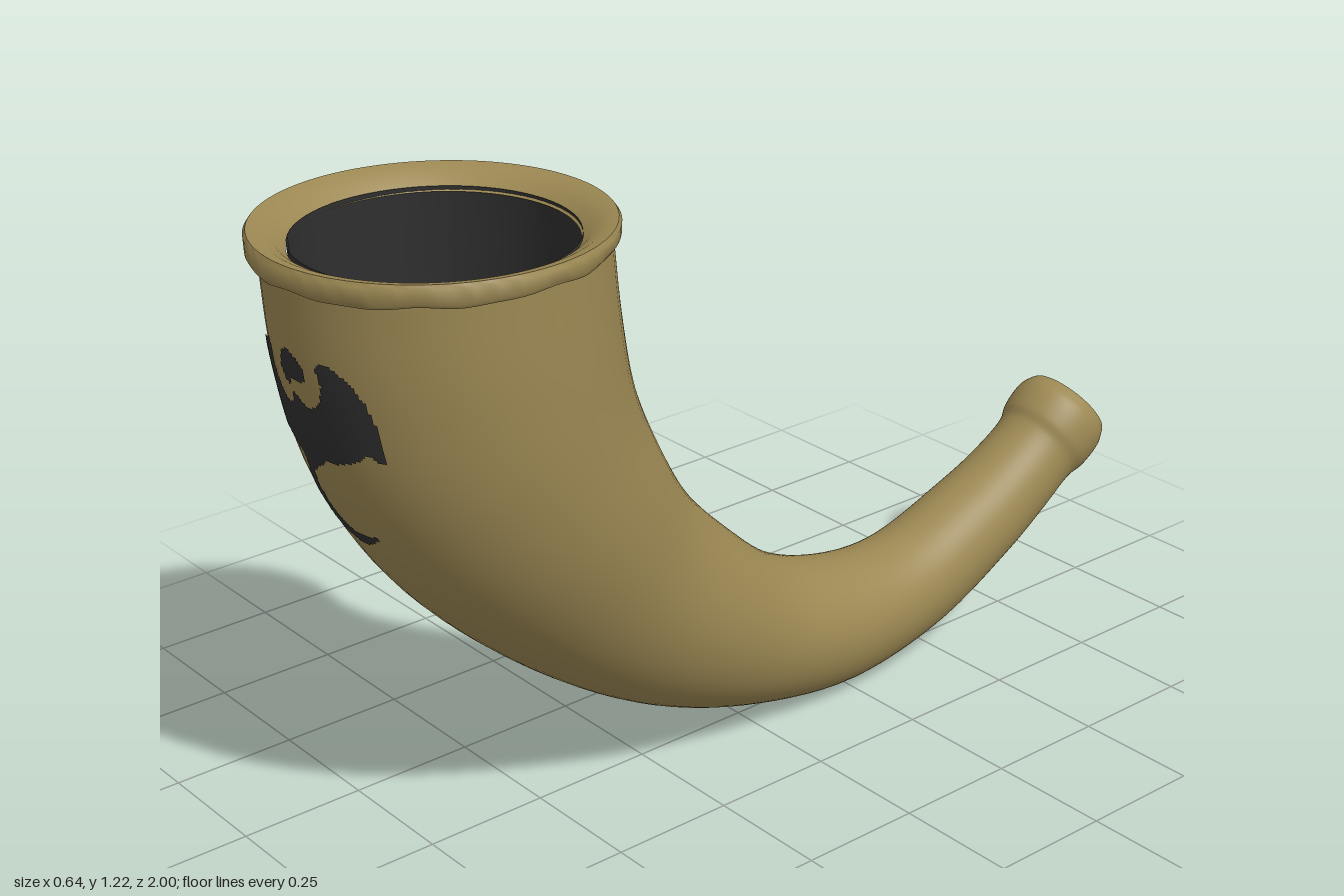
import * as THREE from 'three';
import { toCreasedNormals } from 'three/addons/utils/BufferGeometryUtils.js';

const hornTan = new THREE.MeshStandardMaterial({ color: 0x9c8853 });
hornTan.name = 'horn tan';
const charcoal = new THREE.MeshStandardMaterial({ color: 0x2f2f2f, side: THREE.DoubleSide });
charcoal.name = 'charcoal';

// Cross-sections from bell to mouthpiece: [outer z, outer y, inner z, inner y]
const sections = [
  [0.98, 1.19, 0.375, 1.19], [0.963, 0.98, 0.358, 1.02], [0.91, 0.766, 0.33, 0.88],
  [0.785, 0.55, 0.27, 0.74], [0.57, 0.335, 0.18, 0.585], [0.30, 0.15, 0.06, 0.455],
  [0.035, 0.045, -0.09, 0.33], [-0.24, 0.0, -0.26, 0.268], [-0.5, 0.043, -0.42, 0.26],
  [-0.715, 0.145, -0.60, 0.32], [-0.82, 0.21, -0.71, 0.37], [-0.898, 0.265, -0.794, 0.425],
  [-0.932, 0.28, -0.812, 0.452], [-0.978, 0.315, -0.855, 0.487], [-0.994, 0.338, -0.88, 0.493],
];
const outerCurve = new THREE.CatmullRomCurve3(sections.map(s => new THREE.Vector3(0, s[1], s[0])));
const innerCurve = new THREE.CatmullRomCurve3(sections.map(s => new THREE.Vector3(0, s[3], s[2])));

// Centre, outward direction and radius of the horn at t
function frame(t) {
  const o = outerCurve.getPoint(t), i = innerCurve.getPoint(t);
  const centre = o.clone().add(i).multiplyScalar(0.5);
  const normal = o.sub(i);
  const radius = normal.length() / 2;
  return { centre, normal: normal.normalize(), radius };
}

// Skin a list of rings [t, radius factor, shift along the horn]
function sweep(rings, sides = 64) {
  const pos = [], index = [];
  rings.forEach(([t, k, shift], i) => {
    const { centre, normal, radius } = frame(t);
    const along = new THREE.Vector3(0, -normal.z, normal.y);
    for (let j = 0; j < sides; j++) {
      const a = (j / sides) * Math.PI * 2;
      const p = centre.clone().addScaledVector(normal, radius * k * Math.cos(a)).addScaledVector(along, shift);
      pos.push(radius * k * Math.sin(a), p.y, p.z);
      if (i === rings.length - 1) continue;
      const A = i * sides + j, D = i * sides + (j + 1) % sides;
      index.push(A, A + sides, D + sides, A, D + sides, D);
    }
  });
  const g = new THREE.BufferGeometry();
  g.setAttribute('position', new THREE.Float32BufferAttribute(pos, 3));
  g.setIndex(index);
  g.computeVertexNormals();
  return g;
}

// Front surface point of the horn at a given x and y
function onFront(x, y) {
  let lo = 0, hi = 0.35, p;
  for (let n = 0; n < 18; n++) {
    const t = (lo + hi) / 2, f = frame(t);
    p = f.centre.addScaledVector(f.normal, Math.sqrt(f.radius ** 2 - x * x) + 0.004);
    if (p.y > y) lo = t; else hi = t;
  }
  return [x, y, p.z];
}

// Painted winged beast: outlines in hundredths of a unit
const beastBody = [
  -8.4, 105, -12.2, 103.9, -15.4, 100.6, -17.4, 95.8, -17.7, 88.4, -16.1, 87.8, -14.1, 88.7, -12.2, 87.1,
  -9.6, 87.1, -7.4, 85.9, -5.1, 84.9, -4.2, 83.3, -5.1, 79.7, -5.5, 75.6, -4.2, 71.7, -1.6, 68.8,
  1.6, 67.5, 4.5, 67.8, 7.1, 69.5, 9, 71.7, 7.4, 70.4, 4.5, 69.8, 1.6, 70.1, -1, 72, -2.6, 74.9,
  -2.9, 78.8, -2.3, 81.4, -0.3, 83, 1.9, 84.2, 2.6, 85.2, 5.8, 85.5, 9, 86.5, 11.3, 87.5, 12.2, 88.7,
  13.8, 89.1, 15.1, 87.8, 16.1, 88.1, 16.1, 94.2, 14.8, 99.4, 12.5, 102.9, 9.6, 104.8, 7.1, 105.1,
  6.1, 103.9, 6.8, 100.6, 5.8, 97.4, 3.9, 95.8, 1.6, 95.5, 0, 96.8, -1.6, 97.4, -2.3, 95.5, -3.9, 94.5,
  -6.1, 96.1, -7.7, 99, -8, 101.9,
];
const beastHead = [
  -4.5, 101.6, -3.2, 104.8, -1, 105.5, 1.3, 104.5, 3.2, 102.3, 2.9, 100.6, 1, 100, -1.3, 100, -1.9, 98.4, -3.5, 99.4,
];

function inside(poly, x, y) {
  let hit = false;
  for (let i = 0, j = poly.length - 2; i < poly.length; j = i, i += 2) {
    const [x1, y1, x2, y2] = [poly[i], poly[i + 1], poly[j], poly[j + 1]];
    if ((y1 > y) !== (y2 > y) && x < ((x2 - x1) * (y - y1)) / (y2 - y1) + x1) hit = !hit;
  }
  return hit;
}

// Fill the outlines with small cells that follow the horn's surface
function emblemGeometry(cell = 0.005) {
  const pos = [];
  for (let y = 0.67; y < 1.065; y += cell) {
    for (let x = -0.18; x < 0.17; x += cell) {
      const cx = (x + cell / 2) * 100, cy = (y + cell / 2) * 100;
      if (!inside(beastBody, cx, cy) && !inside(beastHead, cx, cy)) continue;
      const a = onFront(x, y), b = onFront(x + cell, y);
      const c = onFront(x + cell, y + cell), d = onFront(x, y + cell);
      pos.push(...a, ...b, ...c, ...a, ...c, ...d);
    }
  }
  const g = new THREE.BufferGeometry();
  g.setAttribute('position', new THREE.Float32BufferAttribute(pos, 3));
  g.computeVertexNormals();
  return g;
}

// Flat-topped bell rim with a funnelled inside and an uneven lower edge
function rimGeometry() {
  const profile = [[0.295, 1.183], [0.314, 1.178], [0.319, 1.185], [0.32, 1.21], [0.315, 1.217],
    [0.295, 1.213], [0.27, 1.2], [0.25, 1.18]].map(p => new THREE.Vector2(...p));
  const g = new THREE.LatheGeometry(profile, 96);
  const p = g.attributes.position;
  for (let i = 0; i < p.count; i++) {
    if (p.getY(i) > 1.19 || Math.hypot(p.getX(i), p.getZ(i)) < 0.28) continue;
    const a = Math.atan2(p.getX(i), p.getZ(i));
    p.setY(i, p.getY(i) - 0.006 * Math.cos(a) + 0.002 * Math.sin(9 * a) + 0.0015 * Math.sin(16 * a));
  }
  return toCreasedNormals(g, 0.7);
}

export function createModel() {
  const group = new THREE.Group();
  group.name = 'drinkingHorn';
  const add = (name, geometry, material) => {
    const m = new THREE.Mesh(geometry, material);
    m.name = name;
    group.add(m);
    return m;
  };
  const steps = 90;
  const ts = Array.from({ length: steps + 1 }, (_, i) => i / steps);

  // Curved outer shell, rolled over at the mouthpiece
  add('hornBody', sweep([...ts.map(t => [t, 1, 0]), [1, 0.96, 0.006], [1, 0.88, 0.007], [1, 0.78, 0]]), hornTan);
  // Dark hollow running through the horn
  add('hollow', sweep(ts.map(t => [t, 0.83 - 0.05 * t, 0])), charcoal);
  add('bellRim', rimGeometry(), hornTan).position.z = 0.68;
  add('wingedBeastEmblem', emblemGeometry(), charcoal);
  return group;
}
